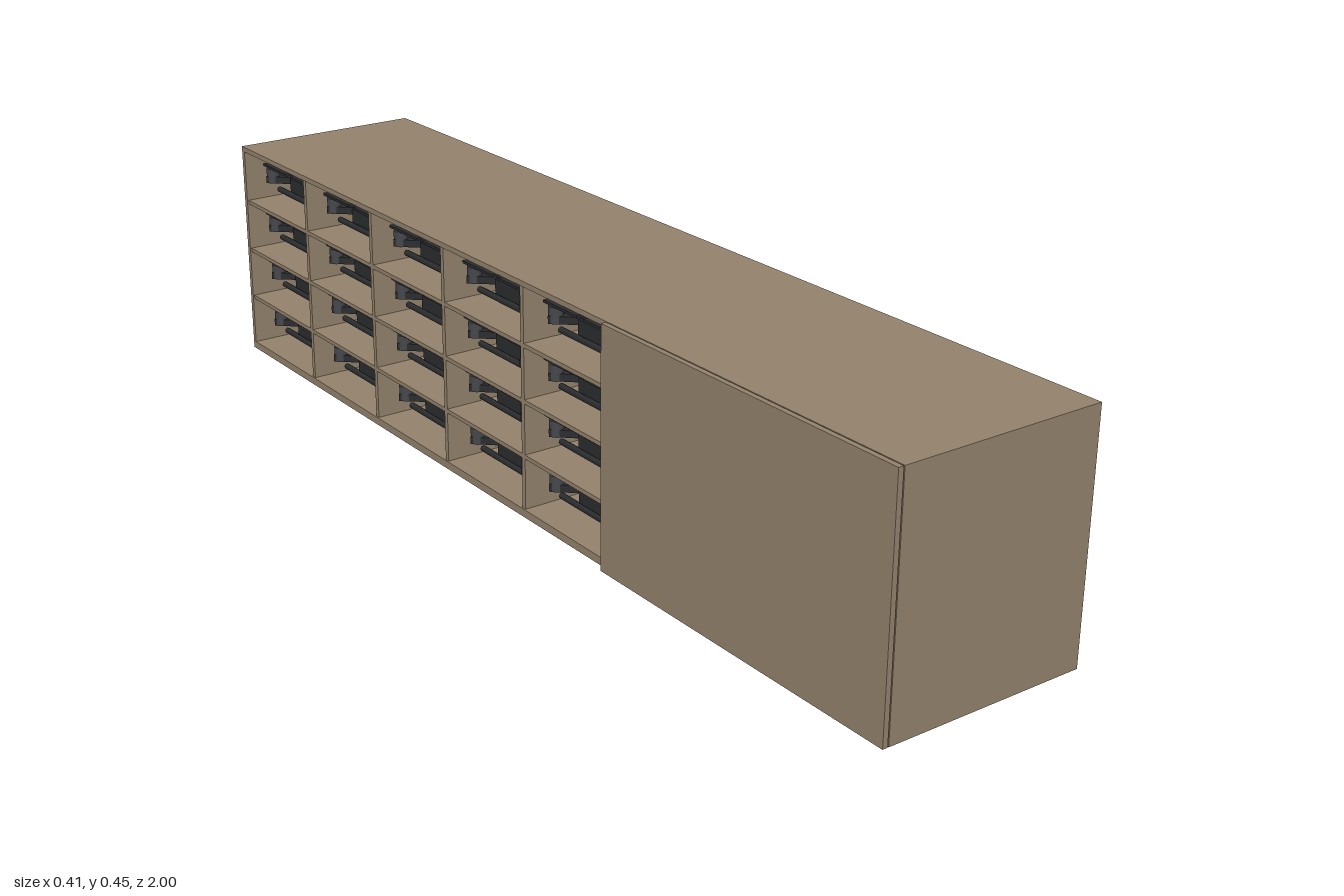
import * as THREE from 'three';

const H = 0.447, X0 = -0.191, X1 = 0.203, T = 0.01, OPEN_END = 0.305;
const COLS = 5, ROWS = 4, SILL = 0.015;

const wood = new THREE.MeshStandardMaterial({ color: 0x93826b });
const dark = new THREE.MeshStandardMaterial({ color: 0x2b2c2f });
const grey = new THREE.MeshStandardMaterial({ color: 0x45474b });

// Box given by its two extreme corners
function box(parent, name, [ax, ay, az], [bx, by, bz], material = wood) {
  const mesh = new THREE.Mesh(new THREE.BoxGeometry(bx - ax, by - ay, bz - az), material);
  mesh.position.set((ax + bx) / 2, (ay + by) / 2, (az + bz) / 2);
  mesh.name = name;
  parent.add(mesh);
  return mesh;
}

// Low four-armed unit kept in each bay, resting on two skids
function storedUnit() {
  const unit = new THREE.Group();
  unit.name = 'storedUnit';
  box(unit, 'hull', [-0.11, 0.022, -0.04], [0.11, 0.05, 0.04], dark);
  box(unit, 'hullCover', [-0.08, 0.05, -0.03], [0.08, 0.066, 0.03], grey);
  for (const sx of [-1, 1]) {
    const skid = new THREE.Mesh(new THREE.CylinderGeometry(0.006, 0.006, 0.2, 8), dark);
    skid.rotation.x = Math.PI / 2;
    skid.position.set(sx * 0.105, 0.012, 0);
    skid.name = 'skid';
    unit.add(skid);
    for (const sz of [-1, 1]) {
      const arm = new THREE.Mesh(new THREE.BoxGeometry(0.11, 0.014, 0.02), dark);
      arm.position.set(sx * 0.095, 0.042, sz * 0.055);
      arm.rotation.y = -sx * sz * 0.75;
      arm.name = 'arm';
      const motor = new THREE.Mesh(new THREE.CylinderGeometry(0.014, 0.014, 0.03, 10), grey);
      motor.position.set(sx * 0.125, 0.05, sz * 0.085);
      motor.name = 'motor';
      const blade = new THREE.Mesh(new THREE.BoxGeometry(0.02, 0.005, 0.1), dark);
      blade.position.set(sx * 0.125, 0.068, sz * 0.06);
      blade.name = 'blade';
      unit.add(arm, motor, blade);
      box(unit, 'skidLeg', [sx * 0.1 - 0.005, 0.01, sz * 0.03 - 0.005],
        [sx * 0.1 + 0.005, 0.04, sz * 0.03 + 0.005], dark);
    }
  }
  return unit;
}

export function createModel() {
  const model = new THREE.Group();
  model.name = 'storageContainer';

  // Shell, open along the -x side
  box(model, 'floor', [X0, 0, -1], [X1, SILL, 1]);
  box(model, 'roof', [X0, H - T, -1], [X1, H, 1]);
  box(model, 'longWall', [X1 - T, SILL, -1], [X1, H - T, 1]);
  box(model, 'backWall', [X0, SILL, -1], [X1 - T, H - T, -1 + T]);
  box(model, 'frontWall', [X0, SILL, 1 - T], [X1 - T, H - T, 1]);
  box(model, 'fixedPanel', [X0, SILL, OPEN_END], [X0 + T, H - T, 1 - T]);

  // Door slid aside over the fixed panel
  box(model, 'slidingDoor', [-0.203, 0, 0.3], [-0.193, H, 1]);

  // Rack of bays: uprights, shelves and their contents
  const rack = new THREE.Group();
  rack.name = 'rack';
  model.add(rack);
  const z0 = -1 + T / 2, pitchZ = (OPEN_END - z0) / COLS;
  const pitchY = (H - T - SILL) / ROWS, front = X0 + 0.003, rear = X1 - T;
  for (let c = 1; c <= COLS; c++) {
    const z = z0 + c * pitchZ;
    box(rack, 'upright', [front, SILL, z - 0.005], [rear, H - T, z + 0.005]);
  }
  for (let r = 0; r < ROWS; r++) {
    const y = SILL + r * pitchY;
    if (r > 0) box(rack, 'shelf', [front, y - 0.008, -1 + T], [rear, y, OPEN_END]);
    for (let c = 0; c < COLS; c++) {
      const unit = storedUnit();
      unit.position.set(-0.022, y + 0.008, z0 + (c + 0.5) * pitchZ);
      rack.add(unit);
    }
  }
  return model;
}
